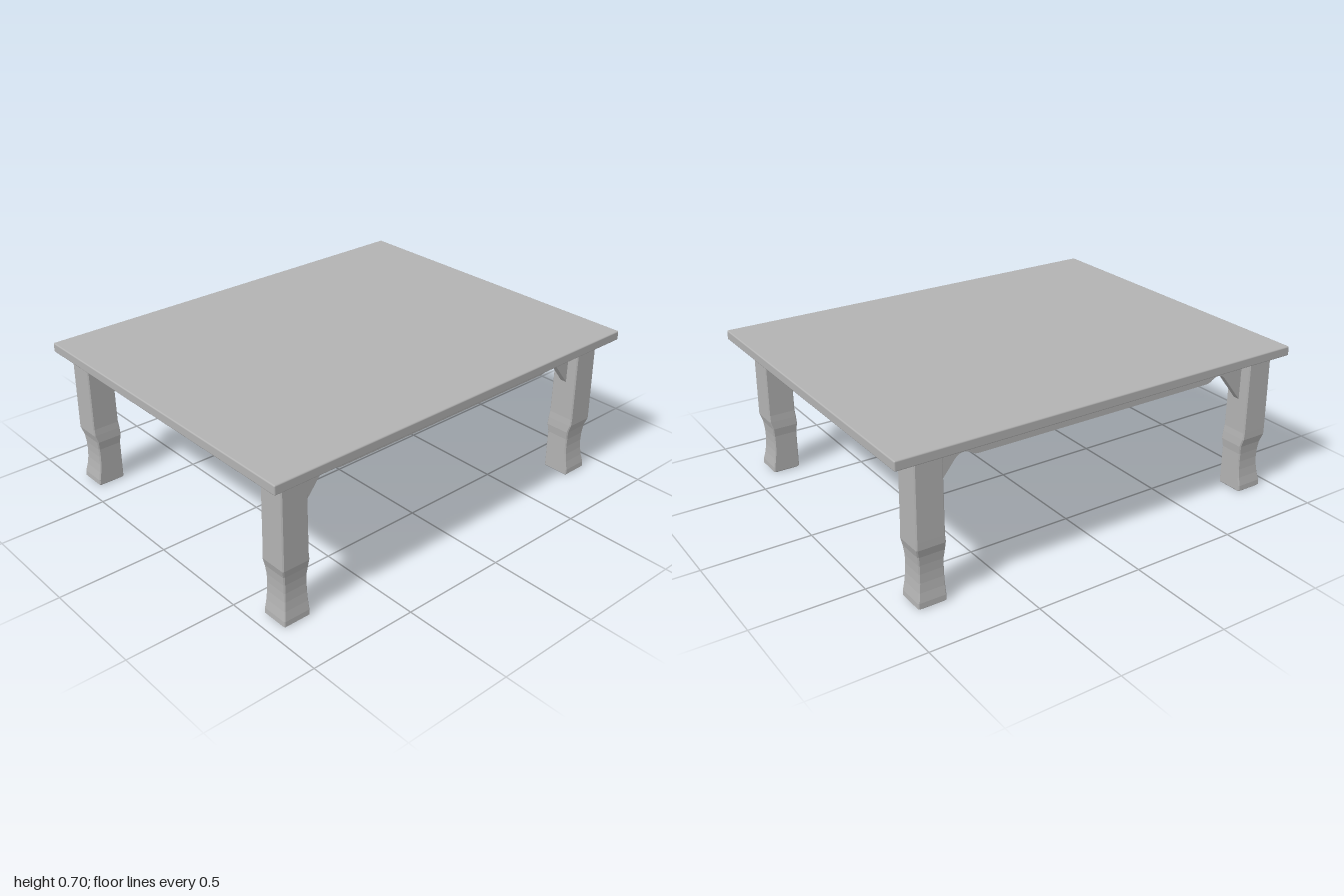
import * as THREE from 'three';
import { RoundedBoxGeometry } from 'three/addons/geometries/RoundedBoxGeometry.js';

const TOP_UNDERSIDE = 0.655;

// Leg profile, bottom to top: [height, outer face inset, inner face inset]
const LEG_PROFILE = [
  [0, 0.006, 0.006], [0.006, 0, 0], [0.03, 0.001, 0], [0.07, 0.009, 0],
  [0.11, 0.014, 0], [0.15, 0.016, 0], [0.19, 0.015, 0], [0.23, 0.011, -0.005],
  [0.268, 0, -0.003], [0.3, 0, 0], [0.65, 0.003, 0.001], [TOP_UNDERSIDE, 0.006, 0.006],
];

// Square leg with slightly chamfered corners, lofted through the profile
function legGeometry(sx, sz, xIn, xOut, zIn, zOut) {
  const c = 0.005, n = 8, pos = [], idx = [];
  for (const [y, o, i] of LEG_PROFILE) {
    const xs = [sx * (xIn + i), sx * (xOut - o)].sort((a, b) => a - b);
    const zs = [sz * (zIn + i), sz * (zOut - o)].sort((a, b) => a - b);
    const [x0, x1] = xs, [z0, z1] = zs;
    const ring = [
      [x1 - c, z1], [x1, z1 - c], [x1, z0 + c], [x1 - c, z0],
      [x0 + c, z0], [x0, z0 + c], [x0, z1 - c], [x0 + c, z1],
    ];
    for (const [x, z] of ring) pos.push(x, y, z);
  }
  const last = (LEG_PROFILE.length - 1) * n;
  for (let k = 0; k < last; k += n) {
    for (let j = 0; j < n; j++) {
      const a = k + j, b = k + (j + 1) % n;
      idx.push(a, b, b + n, a, b + n, a + n);
    }
  }
  for (let j = 1; j < n - 1; j++) {
    idx.push(0, j + 1, j, last, last + j, last + j + 1);
  }
  const g = new THREE.BufferGeometry();
  g.setAttribute('position', new THREE.Float32BufferAttribute(pos, 3));
  g.setIndex(idx);
  const flat = g.toNonIndexed();
  flat.computeVertexNormals();
  return flat;
}

// Side rail with a scalloped bracket at each end, cut in the z-y plane
function apronGeometry(thickness) {
  const s = new THREE.Shape();
  s.moveTo(-0.82, TOP_UNDERSIDE);
  s.lineTo(-0.82, 0.435);
  s.lineTo(-0.8, 0.455);
  s.lineTo(-0.70, 0.58);
  s.bezierCurveTo(-0.68, 0.605, -0.65, 0.605, -0.625, 0.588);
  s.quadraticCurveTo(-0.61, 0.576, -0.59, 0.576);
  s.lineTo(0.59, 0.576);
  s.quadraticCurveTo(0.61, 0.576, 0.625, 0.588);
  s.bezierCurveTo(0.65, 0.605, 0.68, 0.605, 0.70, 0.58);
  s.lineTo(0.8, 0.455);
  s.lineTo(0.82, 0.435);
  s.lineTo(0.82, TOP_UNDERSIDE);
  s.closePath();
  const g = new THREE.ExtrudeGeometry(s, { depth: thickness, bevelEnabled: false, curveSegments: 6 });
  g.translate(0, 0, -thickness / 2);
  g.rotateY(-Math.PI / 2);
  return g;
}

export function createModel() {
  const model = new THREE.Group();
  model.name = 'lowTable';
  const grey = new THREE.MeshStandardMaterial({ color: 0xb2b2b2 });
  grey.name = 'plainGrey';

  const add = (name, geometry, x = 0, y = 0, z = 0) => {
    const mesh = new THREE.Mesh(geometry, grey);
    mesh.name = name;
    mesh.position.set(x, y, z);
    model.add(mesh);
  };

  // Table top
  add('tableTop', new RoundedBoxGeometry(1.585, 0.044, 2, 2, 0.006), 0, 0.677, 0);

  // Legs: the front pair stands a little nearer the edge than the back pair
  for (const [side, sx] of [['Left', 1], ['Right', -1]]) {
    add(`front${side}Leg`, legGeometry(sx, 1, 0.623, 0.752, 0.81, 0.94));
    add(`back${side}Leg`, legGeometry(sx, -1, 0.623, 0.752, 0.77, 0.9));
    // Bracketed rail along each long side
    add(`apron${side}`, apronGeometry(0.03), sx * 0.683, 0, 0.01);
  }

  // Thin flat stretchers between the legs at each end
  const stretcher = new THREE.BoxGeometry(1.27, 0.01, 0.08);
  add('frontStretcher', stretcher, 0, 0.557, 0.85);
  add('backStretcher', stretcher, 0, 0.557, -0.81);

  return model;
}
